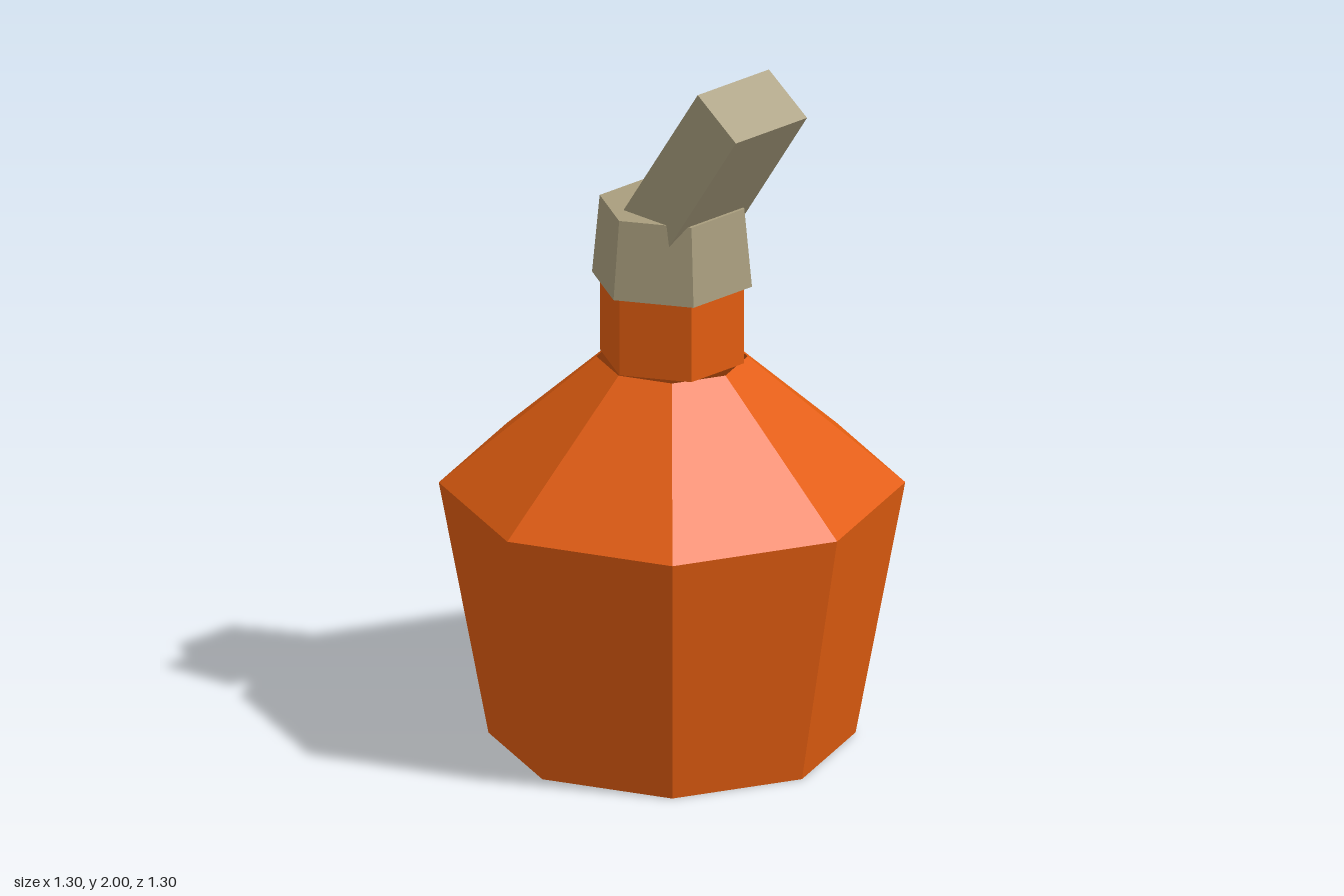
import * as THREE from 'three';

export function createModel() {
  const group = new THREE.Group();
  const orange = new THREE.MeshStandardMaterial({ color: 0xe25d10, flatShading: true });
  const orangeOpen = orange; // same colour for the open shoulder
  orange.side = THREE.DoubleSide;
  const khaki = new THREE.MeshStandardMaterial({ color: 0xa99e7e, flatShading: true });

  const add = (name, geometry, material) => {
    const mesh = new THREE.Mesh(geometry, material);
    mesh.name = name;
    group.add(mesh);
    return mesh;
  };

  // Faceted ring section standing between two heights, with a corner on +x
  const section = (name, sides, y0, r0, y1, r1, material, open = false) => {
    const geometry = new THREE.CylinderGeometry(r1, r0, y1 - y0, sides, 1, open);
    geometry.rotateY(Math.PI / 2).translate(0, (y0 + y1) / 2, 0);
    return add(name, geometry, material);
  };

  // Eight-sided bottle: tapered body and open sloping shoulder
  section('body', 8, 0, 0.51, 0.745, 0.648, orange);
  section('shoulder', 8, 0.745, 0.648, 1.12, 0.21, orangeOpen, true);

  // Six-sided neck and collar
  section('neck', 6, 1.12, 0.207, 1.36, 0.207, orange);
  section('collar', 6, 1.35, 0.23, 1.58, 0.208, khaki);

  // Square nozzle leaning forward out of the collar
  const nozzle = add('nozzle', new THREE.BoxGeometry(0.28, 0.6, 0.182), khaki);
  nozzle.position.set(0, 1.703, 0.145);
  nozzle.rotation.x = 0.604;

  return group;
}
